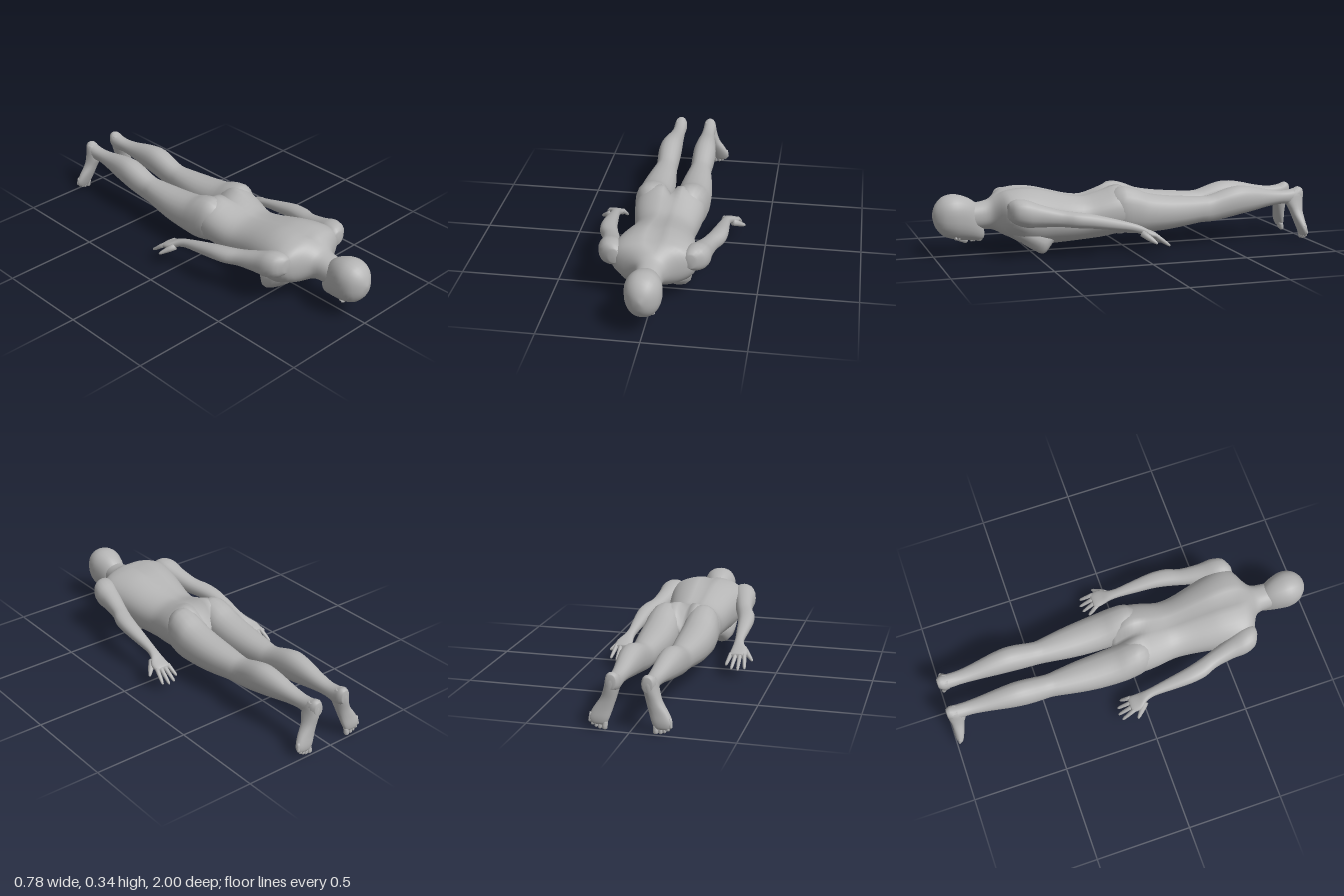
import * as THREE from 'three';

const skin = new THREE.MeshStandardMaterial({ color: 0xb4b4b4 });
skin.name = 'matte grey';

// Catmull-Rom between rows of numbers
function refine(rows, steps) {
  const out = [], n = rows.length;
  for (let i = 0; i < n - 1; i++) {
    const p0 = rows[Math.max(i - 1, 0)], p1 = rows[i], p2 = rows[i + 1], p3 = rows[Math.min(i + 2, n - 1)];
    for (let s = 0; s < steps; s++) {
      const t = s / steps;
      out.push(p1.map((v, k) => v + 0.5 * t * (p2[k] - p0[k]
        + t * (2 * p0[k] - 5 * v + 4 * p2[k] - p3[k]
        + t * (3 * v - p0[k] - 3 * p2[k] + p3[k])))));
    }
  }
  out.push(rows[n - 1]);
  return out;
}

// Skin over oval sections; row = [z, centreX, halfWidth, bottom, widestY, top, spineGroove]
function loft(rows, side = 1, segs = 20, steps = 3) {
  const sorted = [...rows].sort((a, b) => a[0] - b[0]);
  const rings = refine(sorted, steps);
  const shut = r => [r[0], r[1], 0, r[4], r[4], r[4], 0];
  rings.unshift(shut(rings[0]));
  rings.push(shut(rings[rings.length - 1]));
  const pos = [], index = [];
  rings.forEach(([z, cx, w, bottom, mid, top, groove], i) => {
    for (let j = 0; j < segs; j++) {
      const a = (j / segs) * Math.PI * 2, c = Math.cos(a), s = Math.sin(a);
      const x = side * cx + w * Math.sign(c) * Math.abs(c) ** 0.9;
      let y = mid + (s > 0 ? top - mid : mid - bottom) * Math.sign(s) * Math.abs(s) ** 0.9;
      if (s > 0) y -= (groove || 0) * Math.exp(-((x / 0.022) ** 2));
      pos.push(x, y, z);
      if (i < rings.length - 1) {
        const k = (j + 1) % segs, p = i * segs, q = p + segs;
        index.push(p + j, p + k, q + j, p + k, q + k, q + j);
      }
    }
  });
  const g = new THREE.BufferGeometry();
  g.setAttribute('position', new THREE.Float32BufferAttribute(pos, 3));
  g.setIndex(index);
  g.computeVertexNormals();
  return g;
}

// Limb row without a widest height: [z, centreX, halfWidth, bottom, top]
const limb = rows => rows.map(([z, x, w, b, t]) => [z, x, w, b, (b + t) / 2, t, 0]);

function add(parent, name, geometry) {
  const mesh = new THREE.Mesh(geometry, skin);
  mesh.name = name;
  parent.add(mesh);
  return mesh;
}

// Rounded, slightly tapered finger or toe between two points
function digit(parent, name, from, to, r0, r1) {
  const a = new THREE.Vector3(...from), b = new THREE.Vector3(...to);
  const len = a.distanceTo(b);
  const profile = [[0, 0], [r0, 0], [r0 * 0.9, len * 0.35], [(r0 + r1) / 2, len * 0.55],
    [r1, len * 0.85], [r1 * 0.65, len * 0.96], [0, len]].map(p => new THREE.Vector2(...p));
  const m = add(parent, name, new THREE.LatheGeometry(profile, 9));
  m.position.copy(a);
  m.quaternion.setFromUnitVectors(new THREE.Vector3(0, 1, 0), b.sub(a).normalize());
}

function ball(parent, name, p, r) {
  const m = add(parent, name, new THREE.SphereGeometry(1, 14, 10));
  m.position.set(...p);
  m.scale.set(...r);
}

export function createModel() {
  const model = new THREE.Group();
  model.name = 'lying figure';

  // Torso and neck, with a groove down the back
  add(model, 'torso', loft([
    [-0.07, 0, 0.13, 0.12, 0.19, 0.25, 0.03],
    [0.0, 0, 0.178, 0.082, 0.2, 0.322, 0.06],
    [0.06, 0, 0.183, 0.07, 0.2, 0.335, 0.045],
    [0.13, 0, 0.174, 0.058, 0.19, 0.31, 0.012],
    [0.22, 0, 0.157, 0.05, 0.17, 0.285, 0.01],
    [0.3, 0, 0.161, 0.045, 0.17, 0.292, 0.012],
    [0.4, 0, 0.18, 0.04, 0.19, 0.317, 0.014],
    [0.48, 0, 0.198, 0.036, 0.2, 0.336, 0.018],
    [0.55, 0, 0.213, 0.05, 0.21, 0.341, 0.02],
    [0.6, 0, 0.213, 0.078, 0.22, 0.337, 0.018],
    [0.645, 0, 0.185, 0.1, 0.225, 0.327, 0.01],
    [0.685, 0, 0.11, 0.122, 0.215, 0.302, 0],
    [0.72, 0, 0.074, 0.13, 0.205, 0.28, 0],
    [0.78, 0, 0.066, 0.13, 0.2, 0.268, 0],
    [0.84, 0, 0.06, 0.13, 0.2, 0.26, 0]], 1, 40));
  ball(model, 'groin', [0, 0.085, 0.01], [0.03, 0.025, 0.035]);

  // Head, face downwards
  const head = new THREE.Group();
  head.name = 'head';
  model.add(head);
  add(head, 'skull', loft([
    [0.742, 0, 0.028, 0.085, 0.115, 0.15],
    [0.76, 0, 0.047, 0.072, 0.15, 0.24],
    [0.8, 0, 0.067, 0.075, 0.185, 0.284],
    [0.85, 0, 0.083, 0.08, 0.21, 0.308],
    [0.9, 0, 0.09, 0.088, 0.215, 0.316],
    [0.95, 0, 0.077, 0.108, 0.212, 0.302],
    [0.985, 0, 0.044, 0.15, 0.212, 0.264],
    [1.0, 0, 0.008, 0.2, 0.21, 0.22]].map(r => [...r, 0]), 1, 28));
  add(head, 'nose', loft(limb([
    [0.822, 0, 0.012, 0.07, 0.1], [0.834, 0, 0.016, 0.061, 0.1],
    [0.85, 0, 0.011, 0.067, 0.1], [0.885, 0, 0.008, 0.08, 0.11]]), 1, 12));
  ball(head, 'upperLip', [0, 0.077, 0.805], [0.024, 0.008, 0.007]);
  ball(head, 'lowerLip', [0, 0.077, 0.793], [0.02, 0.008, 0.007]);
  ball(head, 'chin', [0, 0.082, 0.765], [0.025, 0.014, 0.018]);

  for (const side of [1, -1]) {
    const tag = side > 0 ? 'left' : 'right';
    const at = (x, y, z) => [side * x, y, z];

    ball(head, tag + 'Eye', at(0.032, 0.093, 0.872), [0.014, 0.009, 0.008]);
    ball(head, tag + 'Brow', at(0.033, 0.097, 0.89), [0.022, 0.012, 0.008]);

    // Chest muscle drawn down to a ridge
    add(model, tag + 'Chest', loft(limb([
      [0.62, 0.11, 0.04, 0.11, 0.18], [0.56, 0.11, 0.066, 0.06, 0.18],
      [0.5, 0.108, 0.07, 0.022, 0.16], [0.46, 0.105, 0.06, 0.003, 0.14],
      [0.435, 0.1, 0.05, 0.02, 0.13], [0.4, 0.09, 0.035, 0.06, 0.13]]), side, 12, 2));

    // Arm from shoulder cap to palm
    const arm = new THREE.Group();
    arm.name = tag + 'Arm';
    model.add(arm);
    add(arm, tag + 'ArmAndPalm', loft(limb([
      [0.652, 0.185, 0.025, 0.21, 0.28],
      [0.625, 0.2, 0.056, 0.185, 0.303],
      [0.57, 0.21, 0.066, 0.165, 0.305],
      [0.5, 0.223, 0.053, 0.165, 0.28],
      [0.4, 0.246, 0.044, 0.165, 0.25],
      [0.33, 0.27, 0.047, 0.16, 0.24],
      [0.25, 0.284, 0.042, 0.155, 0.228],
      [0.15, 0.289, 0.033, 0.143, 0.203],
      [0.05, 0.293, 0.024, 0.13, 0.175],
      [0.0, 0.3, 0.029, 0.115, 0.158],
      [-0.035, 0.31, 0.043, 0.1, 0.14],
      [-0.07, 0.31, 0.045, 0.092, 0.125],
      [-0.085, 0.31, 0.038, 0.095, 0.115]]), side));
    [[0.274, 0.256, 0.06, -0.122], [0.298, 0.289, 0.05, -0.147],
      [0.321, 0.324, 0.048, -0.153], [0.343, 0.358, 0.055, -0.142]].forEach(([x0, x1, y, z], i) =>
      digit(arm, tag + 'Finger' + (i + 1), at(x0, 0.11, -0.07), at(x1, y, z), 0.012, 0.008));
    digit(arm, tag + 'Thumb', at(0.325, 0.122, -0.005), at(0.386, 0.076, -0.065), 0.018, 0.009);

    // Leg from buttock to heel
    const leg = new THREE.Group();
    leg.name = tag + 'Leg';
    model.add(leg);
    add(leg, tag + 'ThighAndCalf', loft(limb([
      [0.12, 0.085, 0.05, 0.15, 0.27],
      [0.05, 0.098, 0.084, 0.095, 0.328],
      [-0.03, 0.102, 0.092, 0.08, 0.318],
      [-0.1, 0.102, 0.093, 0.084, 0.29],
      [-0.2, 0.101, 0.089, 0.09, 0.272],
      [-0.3, 0.099, 0.08, 0.102, 0.262],
      [-0.4, 0.097, 0.066, 0.116, 0.255],
      [-0.46, 0.096, 0.058, 0.117, 0.258],
      [-0.55, 0.098, 0.062, 0.132, 0.287],
      [-0.62, 0.098, 0.062, 0.146, 0.3],
      [-0.7, 0.095, 0.055, 0.16, 0.292],
      [-0.8, 0.09, 0.043, 0.18, 0.27],
      [-0.88, 0.087, 0.036, 0.188, 0.26],
      [-0.94, 0.087, 0.036, 0.18, 0.266],
      [-0.975, 0.086, 0.034, 0.185, 0.278],
      [-0.997, 0.086, 0.022, 0.2, 0.268]]), side));

    // Foot hanging down, lofted along its length then turned upright
    const foot = loft(limb([
      [-0.265, 0.087, 0.025, -0.99, -0.94],
      [-0.24, 0.088, 0.034, -0.998, -0.91],
      [-0.2, 0.094, 0.036, -0.998, -0.902],
      [-0.15, 0.108, 0.038, -0.992, -0.922],
      [-0.1, 0.132, 0.047, -0.993, -0.938],
      [-0.06, 0.148, 0.05, -0.997, -0.952],
      [-0.035, 0.152, 0.043, -0.995, -0.962],
      [-0.025, 0.152, 0.034, -0.99, -0.967]]), side);
    add(leg, tag + 'Foot', foot.rotateX(Math.PI / 2));
    [[0.12, 0.122, 0.0, 0.014], [0.142, 0.145, 0.002, 0.011], [0.159, 0.163, 0.008, 0.01],
      [0.174, 0.18, 0.018, 0.01], [0.187, 0.193, 0.032, 0.009]].forEach(([x0, x1, y, r], i) =>
      digit(leg, tag + 'Toe' + (i + 1), at(x0, y + 0.045, -0.976), at(x1, y, -0.985), r, r * 0.9));
  }
  return model;
}
